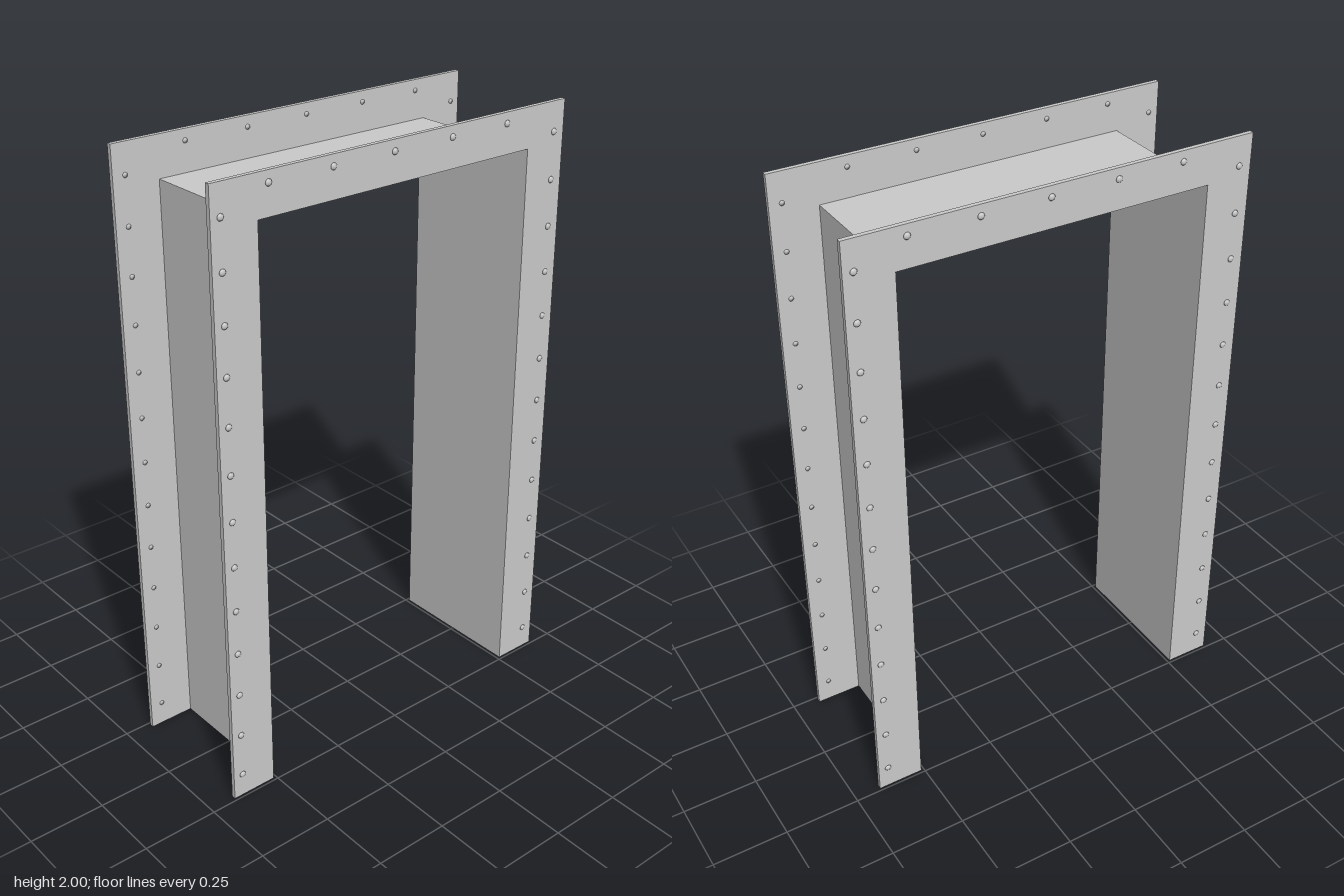
import * as THREE from 'three';

const OUT_X = 0.663, IN_X = 0.51, TOP = 2, IN_TOP = 1.87;
const Z_IN = 0.226, Z_OUT = 0.241;

export function createModel() {
  const group = new THREE.Group();
  const steel = new THREE.MeshStandardMaterial({ color: 0xcccccc });
  const sheet = new THREE.MeshStandardMaterial({ color: 0xcccccc, side: THREE.DoubleSide });

  // Flange: an upside-down U cut from plate
  const outline = new THREE.Shape([
    [-OUT_X, 0], [-IN_X, 0], [-IN_X, IN_TOP], [IN_X, IN_TOP],
    [IN_X, 0], [OUT_X, 0], [OUT_X, TOP], [-OUT_X, TOP],
  ].map(([x, y]) => new THREE.Vector2(x, y)));
  const flangeGeo = new THREE.ExtrudeGeometry(outline, { depth: Z_OUT - Z_IN, bevelEnabled: false });

  // Rivet: low dome outside, stem just showing on the inner face
  const rivetGeo = new THREE.LatheGeometry([
    [0, -0.0165], [0.008, -0.0165], [0.008, 0], [0.011, 0], [0.009, 0.003], [0.005, 0.005], [0, 0.0055],
  ].map(([r, h]) => new THREE.Vector2(r, h)), 12).rotateX(Math.PI / 2);

  // Rivet positions down both legs and along the head
  const spots = [];
  for (let i = 0; i < 13; i++) {
    const y = 0.08 + i * 0.152;
    spots.push([-0.63, y], [0.622, y]);
  }
  for (let i = 0; i < 5; i++) spots.push([-0.472 + i * 0.222, 1.965]);

  // The back flange is the front one turned half round
  for (const name of ['frontFlange', 'backFlange']) {
    const side = new THREE.Group();
    side.name = name;
    const plate = new THREE.Mesh(flangeGeo, steel);
    plate.name = name + 'Plate';
    plate.position.z = Z_IN;
    side.add(plate);
    for (const [x, y] of spots) {
      const rivet = new THREE.Mesh(rivetGeo, steel);
      rivet.name = 'rivet';
      rivet.position.set(x, y, Z_OUT);
      side.add(rivet);
    }
    if (name === 'backFlange') side.rotation.y = Math.PI;
    group.add(side);
  }

  // Thin lining sheets joining the two flanges
  const addSheet = (name, length, x, y, turn) => {
    const geo = new THREE.PlaneGeometry(length, 2 * Z_IN).rotateX(-Math.PI / 2).rotateZ(turn);
    const mesh = new THREE.Mesh(geo, sheet);
    mesh.name = name;
    mesh.position.set(x, y, 0);
    group.add(mesh);
  };
  addSheet('headLining', 2 * IN_X, 0, IN_TOP, 0);
  addSheet('leftLining', IN_TOP, IN_X, IN_TOP / 2, -Math.PI / 2);
  addSheet('rightLining', IN_TOP, -IN_X, IN_TOP / 2, Math.PI / 2);

  return group;
}
